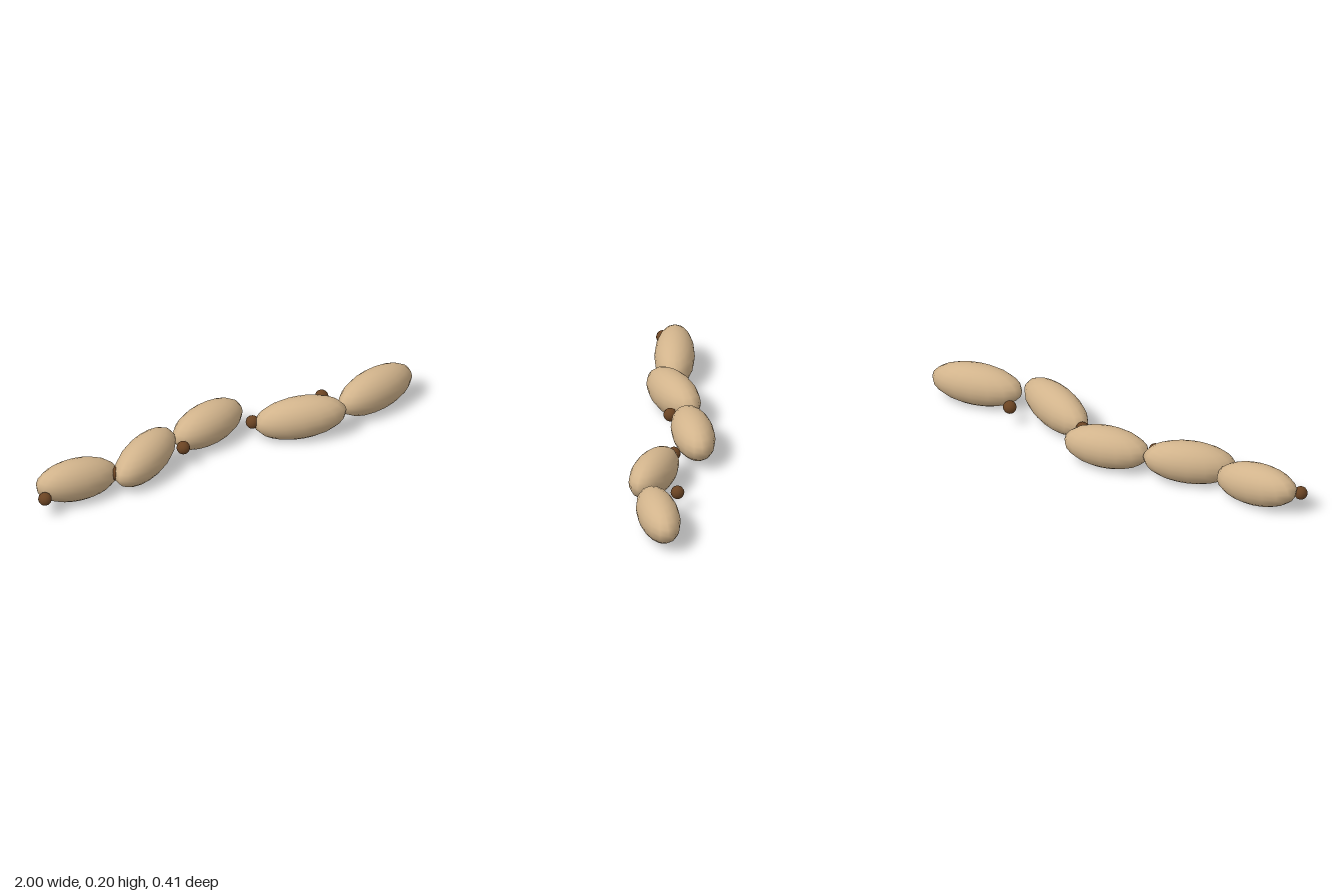
import * as THREE from 'three';

const shellMaterial = new THREE.MeshStandardMaterial({ color: 0xd2b48c });
shellMaterial.name = 'tan shell';
const jointMaterial = new THREE.MeshStandardMaterial({ color: 0x6b4423 });
jointMaterial.name = 'dark brown joint';

// One elongated pod: centre, half sizes, turn about y and tilt about z (radians)
function pod(x, y, z, halfSize, turn, tilt) {
  const mesh = new THREE.Mesh(new THREE.SphereGeometry(1, 16, 12), shellMaterial);
  mesh.scale.set(...halfSize);
  mesh.rotation.set(0, turn, tilt);
  mesh.position.set(x, y, z);
  return mesh;
}

export function createModel() {
  const model = new THREE.Group();
  model.name = 'segmentedPod';

  // Zigzag chain of pods
  const pods = [
    [-0.762, 0.108, -0.06, [0.212, 0.1, 0.092], -0.06, -0.11],
    [-0.4, 0.107, -0.04, [0.215, 0.1, 0.093], 0.39, 0.06],
    [-0.006, 0.107, -0.111, [0.204, 0.099, 0.094], 0.17, 0],
    [0.371, 0.107, 0.083, [0.214, 0.1, 0.092], -0.41, 0.08],
    [0.784, 0.106, 0.081, [0.217, 0.099, 0.093], 0.17, 0],
  ];
  pods.forEach((p, i) => {
    const mesh = pod(...p);
    mesh.name = `pod${i + 1}`;
    model.add(mesh);
  });

  // Evenly spaced round joints along a straight line
  for (let i = 0; i < 5; i++) {
    const joint = new THREE.Mesh(new THREE.SphereGeometry(0.031, 12, 8), jointMaterial);
    joint.position.set(-0.967 + i * 0.381, 0.1, -0.016);
    joint.name = `joint${i + 1}`;
    model.add(joint);
  }
  return model;
}
